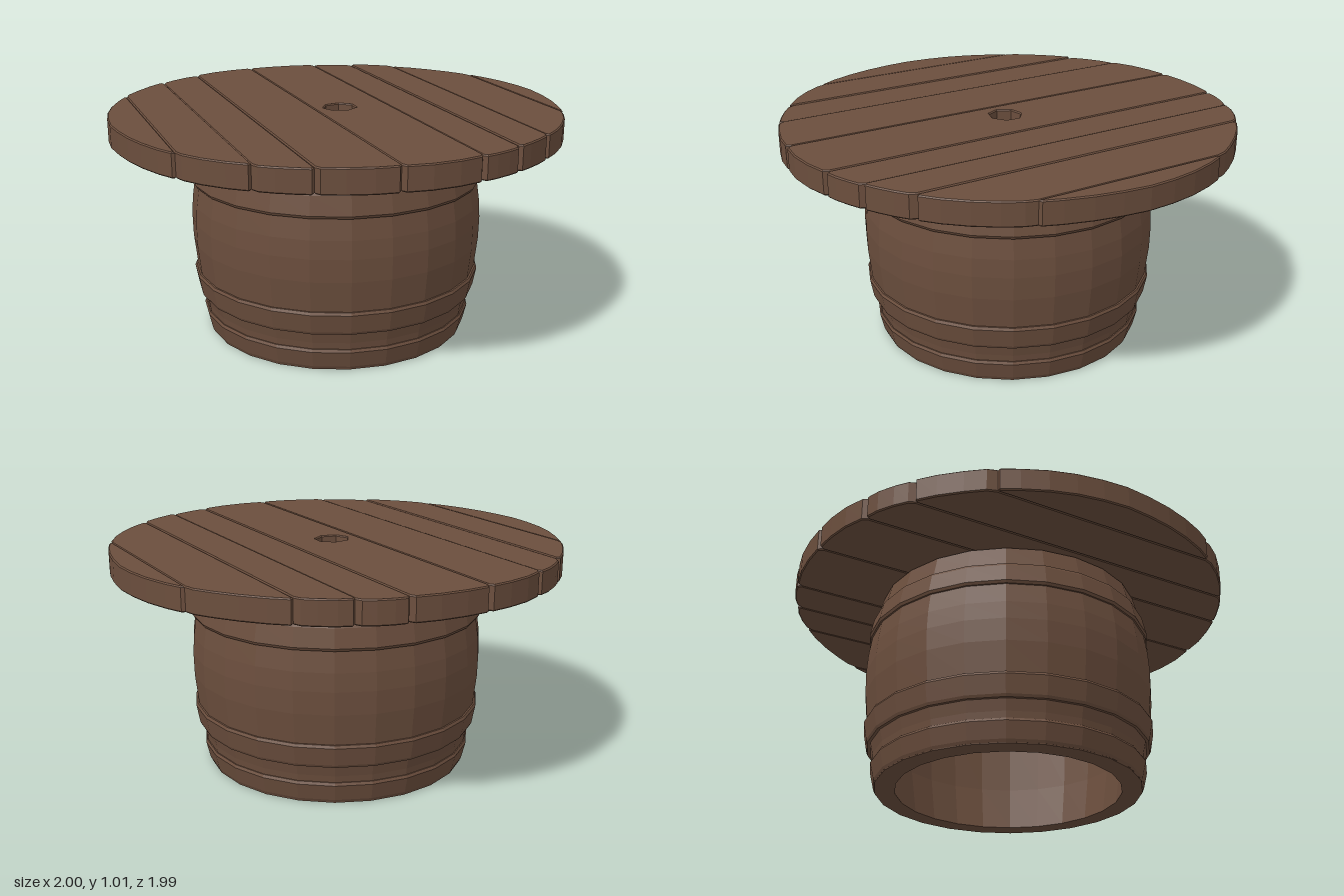
import * as THREE from 'three';

const wood = new THREE.MeshStandardMaterial({ color: 0x6b4e3d, flatShading: true });
wood.name = 'brown wood';

const SIDES = 24;
const TABLE_BOTTOM = 0.9;

function addMesh(parent, name, geometry) {
  const mesh = new THREE.Mesh(geometry, wood);
  mesh.name = name;
  parent.add(mesh);
  return mesh;
}

function lathe(points) {
  return new THREE.LatheGeometry(points.map(([r, y]) => new THREE.Vector2(r, y)), SIDES);
}

// Outline of one plank: two arcs of the round top, with the corners at the seams cut back
function plankShape(x0, x1) {
  const a0 = Math.acos(x0), a1 = Math.acos(x1);
  const steps = Math.max(3, Math.ceil((a0 - a1) / 0.13));
  const arc = (side) => {
    const points = [];
    for (let i = 0; i <= steps; i++) {
      const a = a0 + (a1 - a0) * (i / steps);
      const x = Math.cos(a), z = Math.sin(a);
      if (z < 0.001) { points.push([x, 0]); continue; }
      const r = 0.997 + 0.003 * Math.sin(a * 7 * side);
      const seam = i === 0 || i === steps;
      if (!seam) { points.push([x * r, side * z * r]); continue; }
      const inward = i === 0 ? 0.014 : -0.014;
      const corner = [x, side * (z - 0.028)];
      const shoulder = [x + inward, side * (Math.sqrt(1 - (x + inward) ** 2) - 0.007)];
      points.push(...(i === 0 ? [corner, shoulder] : [shoulder, corner]));
    }
    return points;
  };
  const outline = [...arc(-1), ...arc(1).reverse()].filter(
    (p, i, all) => i === 0 || Math.hypot(p[0] - all[i - 1][0], p[1] - all[i - 1][1]) > 1e-4);
  const [first, last] = [outline[0], outline[outline.length - 1]];
  if (Math.hypot(first[0] - last[0], first[1] - last[1]) < 1e-4) outline.pop();
  return new THREE.Shape(outline.map(([x, y]) => new THREE.Vector2(x, y)));
}

function createTableTop() {
  const top = new THREE.Group();
  top.name = 'tableTop';
  const seams = [-1, -0.84, -0.615, -0.415, -0.11, 0.23, 0.42, 0.61, 0.89, 1];
  const bevel = 0.005;
  for (let i = 0; i < seams.length - 1; i++) {
    const shape = plankShape(seams[i], seams[i + 1]);
    // Bung hole in the middle plank
    if (seams[i] < 0 && seams[i + 1] > 0) {
      const hole = new THREE.Path();
      for (let k = 0; k < 7; k++) {
        const a = -k * Math.PI * 2 / 7 + 0.4;
        const p = [0.01 + 0.075 * Math.cos(a), -0.02 + 0.07 * Math.sin(a)];
        if (k) hole.lineTo(...p); else hole.moveTo(...p);
      }
      hole.closePath();
      shape.holes.push(hole);
    }
    const height = 0.104 + 0.002 * Math.sin(i * 2.3);
    const geometry = new THREE.ExtrudeGeometry(shape, {
      depth: height - 2 * bevel, bevelEnabled: true, bevelSegments: 1,
      bevelSize: bevel, bevelThickness: bevel, bevelOffset: -bevel,
    });
    geometry.rotateX(-Math.PI / 2);
    addMesh(top, 'plank', geometry).position.y = TABLE_BOTTOM + bevel;
  }
  // Sunken bung closing the hole
  addMesh(top, 'bung', new THREE.CylinderGeometry(0.085, 0.085, 0.05, 7))
    .position.set(0.01, TABLE_BOTTOM + 0.03, 0.02);
  return top;
}

function createBarrel() {
  const barrel = new THREE.Group();
  barrel.name = 'barrel';
  // Hollow stave wall: down the inside, then up the bulging outside
  addMesh(barrel, 'staves', lathe([
    [0.5, 0.9], [0.53, 0.75], [0.555, 0.5], [0.53, 0.2], [0.5, 0],
    [0.59, 0], [0.607, 0.13], [0.618, 0.18], [0.638, 0.28], [0.653, 0.42],
    [0.655, 0.52], [0.65, 0.6], [0.635, 0.7], [0.618, 0.8], [0.595, 0.89], [0.58, 0.9],
  ]));
  // Hoops around the staves: [bottom y, bottom radius, top y, top radius]
  const hoops = [
    [0.004, 0.597, 0.1, 0.614],
    [0.18, 0.637, 0.285, 0.652],
    [0.69, 0.65, 0.795, 0.633],
  ];
  for (const [y0, r0, y1, r1] of hoops) {
    addMesh(barrel, 'hoop', lathe([
      [r0 - 0.05, y0], [r0 - 0.006, y0], [r0, y0 + 0.012],
      [r1, y1 - 0.012], [r1 - 0.006, y1], [r1 - 0.05, y1],
    ]));
  }
  return barrel;
}

export function createModel() {
  const model = new THREE.Group();
  model.name = 'barrelTable';
  model.add(createBarrel(), createTableTop());
  return model;
}
